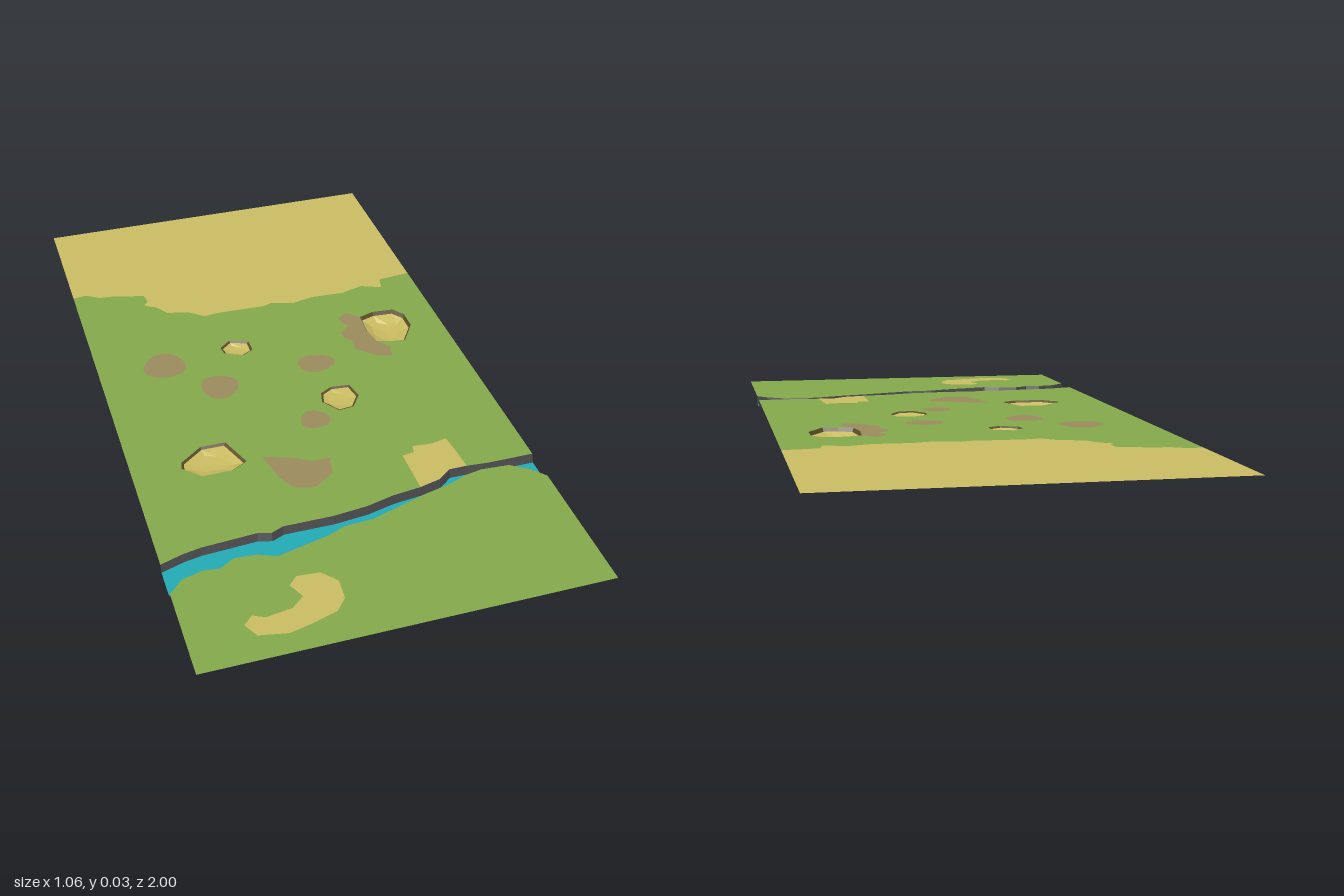
import * as THREE from 'three';

const TOP = 0.029, W = 0.53;

const mat = (name, color) => {
  const m = new THREE.MeshStandardMaterial({ color, side: THREE.DoubleSide });
  m.name = name;
  return m;
};

// Turns a flat list x, z, x, z ... into points
const pts = (a) => {
  const out = [];
  for (let i = 0; i < a.length; i += 2) out.push(new THREE.Vector2(a[i], a[i + 1]));
  return out;
};

// Horizontal sheet from an outline, with optional holes
function sheet(outline, holes = [], y = TOP) {
  const flip = (list) => list.map((p) => new THREE.Vector2(p.x, -p.y));
  const shape = new THREE.Shape(flip(outline));
  holes.forEach((h) => shape.holes.push(new THREE.Path(flip(h))));
  return new THREE.ShapeGeometry(shape).rotateX(-Math.PI / 2).translate(0, y, 0);
}

// Faceted surface through rows of 3D points
function loft(rows, closed) {
  const pos = [];
  for (let r = 0; r + 1 < rows.length; r++) {
    const n = rows[r].length;
    for (let i = 0; i < (closed ? n : n - 1); i++) {
      const j = (i + 1) % n;
      const [a, b, c, d] = [rows[r][i], rows[r][j], rows[r + 1][j], rows[r + 1][i]];
      for (const v of [a, d, c, a, c, b]) pos.push(v.x, v.y, v.z);
    }
  }
  const g = new THREE.BufferGeometry();
  g.setAttribute('position', new THREE.Float32BufferAttribute(pos, 3));
  g.computeVertexNormals();
  return g;
}

const blob = (cx, cz, rx, rz) => Array.from({ length: 14 }, (_, i) => {
  const t = (i / 14) * Math.PI * 2, k = 1 + 0.06 * Math.sin(3 * t + cx * 20);
  return new THREE.Vector2(cx + rx * k * Math.cos(t), cz + rz * k * Math.sin(t));
});

export function createModel() {
  const model = new THREE.Group();
  model.name = 'terrainTile';
  const grass = mat('grass green', 0x82a84b);
  const sand = mat('sand', 0xcabc62);
  const mud = mat('mud', 0x9b8a5d);
  const water = mat('water', 0x22aab4);
  const bank = mat('bank grey', 0x464548);
  const rim = mat('pit rim brown', 0x5c4d2a);
  const add = (name, geometry, material) => {
    const m = new THREE.Mesh(geometry, material);
    m.name = name;
    model.add(m);
  };

  // Edges shared by neighbouring ground areas, all running left to right in x
  const sandEdge = pts([-W, -.615, -.49, -.62, -.45, -.595, -.40, -.59, -.37, -.58, -.315, -.565,
    -.31, -.53, -.325, -.51, -.29, -.49, -.265, -.45, -.22, -.44, -.195, -.43, -.16, -.40, -.11, -.405,
    .03, -.40, .06, -.41, .125, -.39, .19, -.405, .29, -.40, .36, -.42, .42, -.395, .43, -.44, W, -.45]);
  const north = pts([-W, .63, -.47, .61, -.42, .60, -.27, .59, -.235, .60, -.20, .585, -.065, .585,
    .03, .575, .11, .555, .19, .545, .25, .53, .29, .50, .34, .50, .40, .505, W, .505]);
  const south = pts([-W, .735, -.49, .695, -.435, .68, -.39, .685, -.35, .66, -.29, .665, -.245, .685,
    -.18, .67, -.10, .65, -.05, .63, .03, .625, .11, .60, .19, .575, .27, .555, .32, .535, .37, .525,
    .45, .53, .50, .565, W, .60]);
  const shore = pts([.19, .41, .225, .405, .23, .38, .285, .385, .33, .375, .335, .42]);
  const spit = pts([-.385, .885, -.36, .86, -.33, .875, -.26, .865, -.225, .835, -.245, .79, -.22, .765,
    -.16, .77, -.125, .81, -.13, .87, -.16, .905, -.225, .925, -.29, .94, -.365, .925]);

  // Pit outlines, clockwise from above, with depth
  const pits = [
    { depth: .027, ring: pts([.30, -.255, .345, -.27, .41, -.265, .435, -.23, .435, -.17, .39, -.10,
      .345, -.105, .305, -.12, .295, -.18]) },
    { depth: .015, ring: pts([-.39, .265, -.325, .215, -.255, .215, -.22, .31, -.265, .335, -.35, .335,
      -.395, .29]) },
    { depth: .011, ring: pts([-.155, -.22, -.12, -.25, -.065, -.23, -.065, -.185, -.10, -.165, -.15, -.19]) },
    { depth: .009, ring: pts([.065, .08, .10, .06, .155, .065, .165, .12, .135, .165, .09, .17, .055, .12]) },
  ];

  // Mud patches; the last one hugs the left side of the big pit
  const muds = [
    blob(-.335, -.18, .063, .06), blob(-.205, -.035, .055, .056),
    blob(.095, -.065, .056, .043), blob(.012, .19, .043, .04),
    pts([-.175, .305, -.10, .33, -.05, .36, 0, .36, -.015, .425, -.075, .465, -.13, .45, -.155, .40]),
  ];
  const big = pits[0].ring;
  const beside = pts([.335, -.08, .325, -.035, .28, -.05, .23, -.10, .235, -.14, .22, -.16, .215, -.19,
    .25, -.22, .235, -.24, .235, -.27, .265, -.29]);
  const besideMud = [...beside, big[0], big[8], big[7]];
  const bigHole = [...big.slice(0, 8), ...beside];

  // Ground
  const corner = (x, z) => new THREE.Vector2(x, z);
  add('sandField', sheet([corner(-W, -1), corner(W, -1), ...[...sandEdge].reverse()]), sand);
  const grassEdge = [...north.slice(0, 10), ...shore, ...north.slice(12)];
  add('northGrass', sheet([...sandEdge, ...grassEdge.reverse()],
    [...muds, bigHole, ...pits.slice(1).map((p) => p.ring)]), grass);
  add('southGrass', sheet([...south, corner(W, 1), corner(-W, 1)], [spit]), grass);
  add('shoreSand', sheet([...shore, ...north.slice(9, 13).reverse()]), sand);
  add('southSand', sheet(spit), sand);
  [...muds, besideMud].forEach((m) => add('mudPatch', sheet(m), mud));

  // Sunken river: sloping banks and a bed that falls towards the left
  const bedY = (x) => .0075 - .0025 * x / W;
  const at = (list, dz, y) => list.map((p) => new THREE.Vector3(p.x, y(p.x), p.y + dz));
  const flat = () => TOP;
  add('northBank', loft([at(north, 0, flat), at(north, .009, bedY)]), bank);
  add('southBank', loft([at(south, -.008, bedY), at(south, 0, flat)]), bank);
  const bed = sheet([...north.map((p) => corner(p.x, p.y + .009)),
    ...south.map((p) => corner(p.x, p.y - .008)).reverse()], [], 0);
  const bp = bed.attributes.position;
  for (let i = 0; i < bp.count; i++) bp.setY(i, bedY(bp.getX(i)));
  bed.computeVertexNormals();
  add('riverWater', bed, water);

  // Pits: a steep dark rim, then a faceted sandy bowl
  for (const { ring, depth } of pits) {
    const c = ring.reduce((s, p) => s.add(p), new THREE.Vector2()).divideScalar(ring.length);
    const size = ring.reduce((s, p) => s + p.distanceTo(c), 0) / ring.length;
    const level = (k, d, wobble = 0) => ring.map((p, i) => {
      const f = k + wobble * Math.sin(i * 2.4);
      return new THREE.Vector3(c.x + (p.x - c.x) * f, TOP - d, c.y + (p.y - c.y) * f);
    });
    const k = 1 - .007 / size;
    add('pitRim', loft([level(1, 0), level(k, depth * .4)], true), rim);
    add('pitBowl', loft([level(k, depth * .4), level(.55, depth * .85, .12), level(0, depth)], true), sand);
  }
  return model;
}
